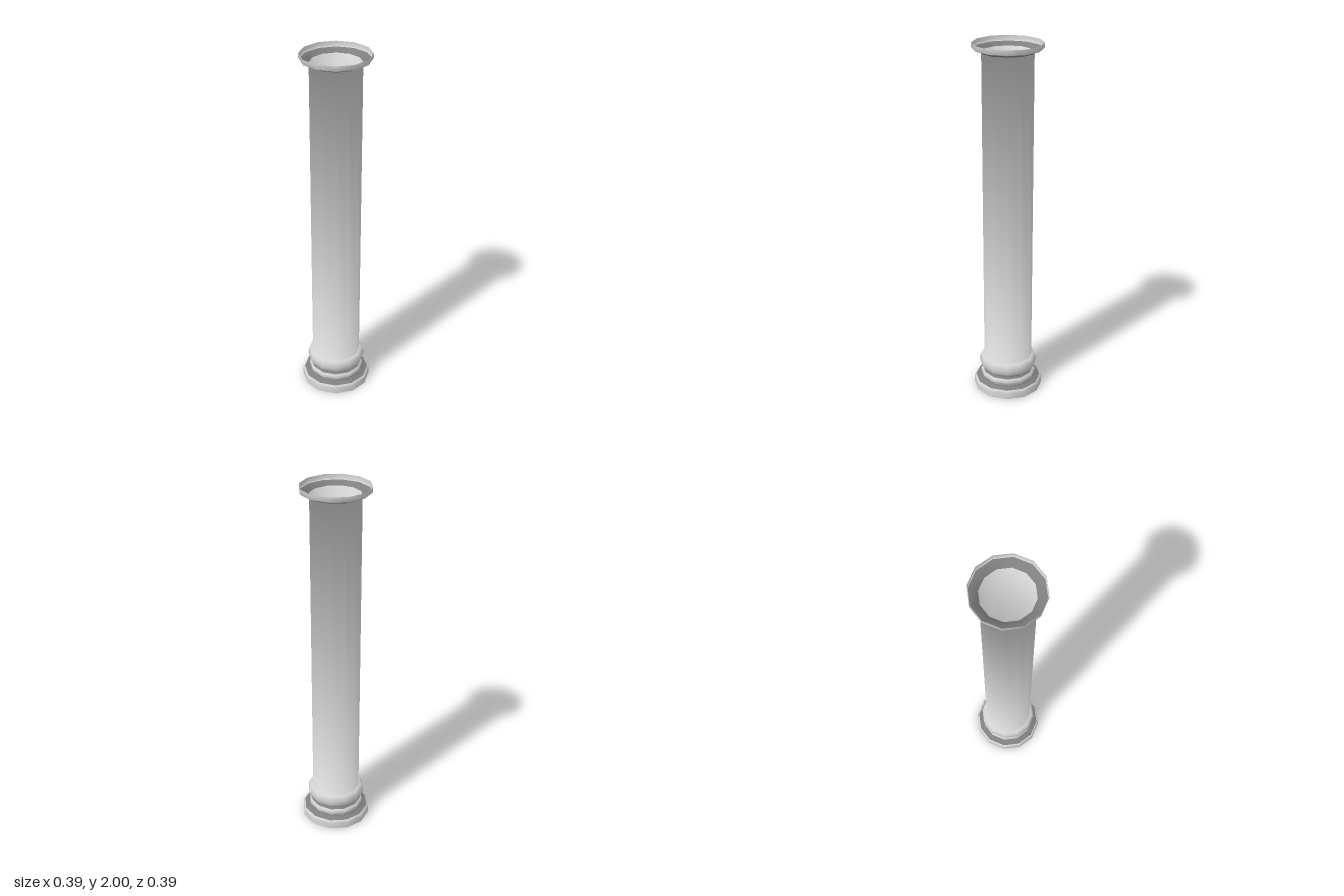
import * as THREE from 'three';

const SIDES = 12;

// Half-round moulding between two heights, bulging from radius r by depth d
function roll(r, d, y0, y1, steps) {
  const pts = [];
  for (let i = 0; i <= steps; i++) {
    const a = (i / steps - 0.5) * Math.PI;
    pts.push([r + d * Math.cos(a), (y0 + y1) / 2 + ((y1 - y0) / 2) * Math.sin(a)]);
  }
  return pts;
}

const material = (name, color) =>
  Object.assign(new THREE.MeshStandardMaterial({ color, side: THREE.DoubleSide }), { name });

export function createModel() {
  const group = new THREE.Group();
  group.name = 'column';
  const stone = material('pale stone', 0xd2d2d2);
  const dark = material('dark grey stone', 0x808080);

  // Parts as [radius, height] pairs, bottom to top; each starts where the last one ends
  const parts = [
    ['plinth', stone, [[0.195, 0], [0.195, 0.035], [0.192, 0.045], [0.185, 0.05]]],
    ['plinthLedge', dark, [[0.15, 0.052], [0.146, 0.06]]],
    ['lowerRoll', stone, roll(0.146, 0.011, 0.062, 0.1, 4)],
    ['neck', dark, [[0.134, 0.102], [0.131, 0.106], [0.131, 0.114], [0.134, 0.118], [0.142, 0.119]]],
    ['upperRoll', stone, [...roll(0.143, 0.02, 0.12, 0.195, 6), [0.136, 0.196]]],
    ['shaft', stone, [[0.136, 1.955]]],
    ['capitalUnderside', dark, [[0.149, 1.956], [0.15, 1.969], [0.183, 1.971]]],
    ['capitalRim', stone, [[0.187, 1.976], [0.187, 2]]],
  ];

  // The full profile, with each point's normal shared evenly by its two segments
  const profile = parts.flatMap((part) => part[2]).map(([r, y]) => new THREE.Vector2(r, y));
  const facing = profile.slice(1).map((p, i) => {
    const d = p.clone().sub(profile[i]).normalize();
    return new THREE.Vector2(d.y, -d.x);
  });
  const normals = profile.map((p, i) => {
    const below = facing[Math.max(i - 1, 0)];
    const above = facing[Math.min(i, facing.length - 1)];
    return below.clone().add(above).normalize();
  });

  // Turn each part as an open twelve-sided shell that blends into its neighbours
  let end = 0;
  for (const [name, mat, points] of parts) {
    const start = Math.max(end - 1, 0);
    end += points.length;
    const count = end - start;
    const geometry = new THREE.LatheGeometry(profile.slice(start, end), SIDES);
    for (let i = 0; i <= SIDES; i++) {
      const a = (i / SIDES) * Math.PI * 2;
      for (let j = 0; j < count; j++) {
        const n = normals[start + j];
        geometry.attributes.normal.setXYZ(i * count + j, n.x * Math.sin(a), n.y, n.x * Math.cos(a));
      }
    }
    const mesh = new THREE.Mesh(geometry, mat);
    mesh.name = name;
    group.add(mesh);
  }
  return group;
}
